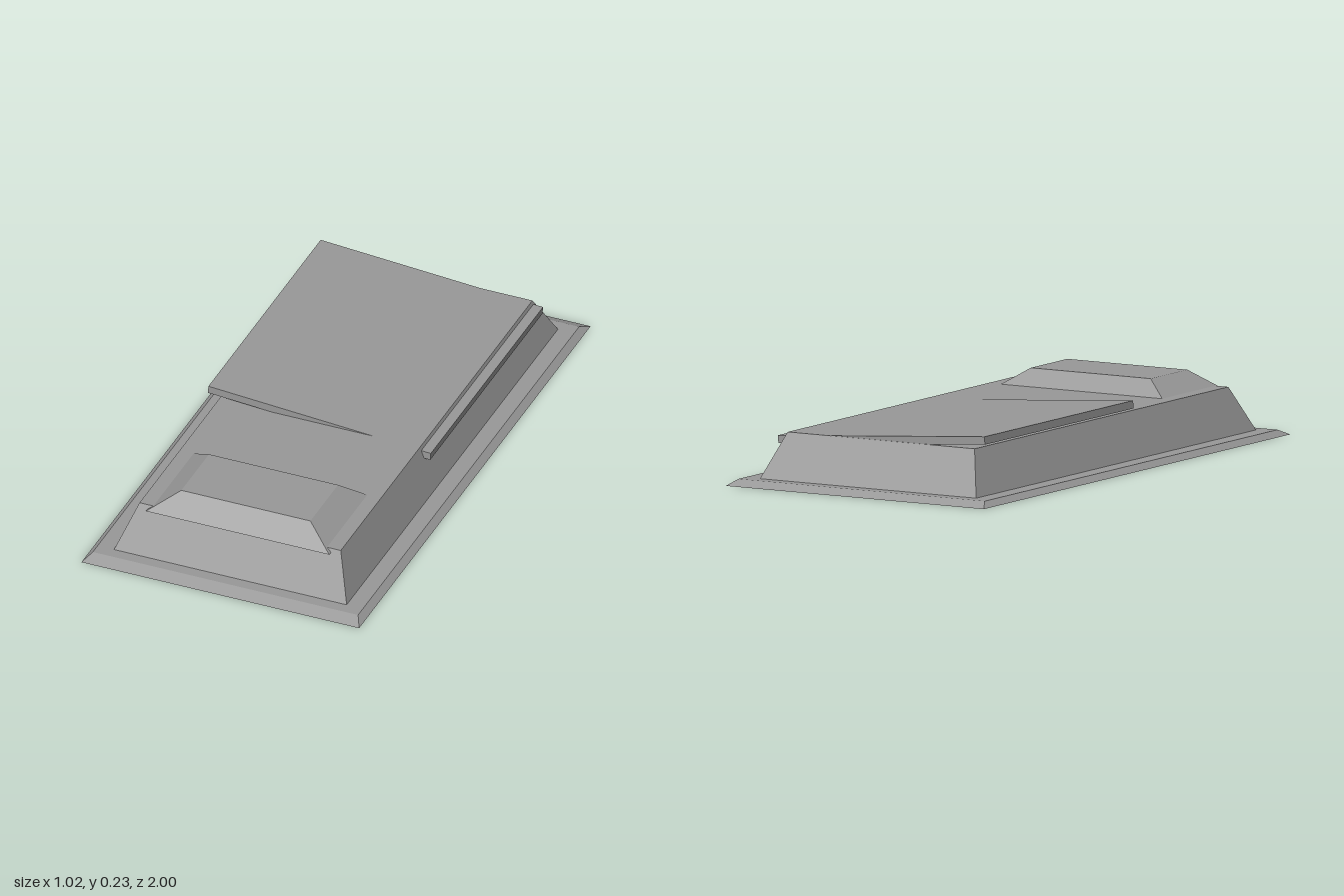
import * as THREE from 'three';

// Box whose top face is scaled in to a smaller rectangle
function taperedBlock(name, material, bottom, top, y0, y1, z = 0) {
  const geometry = new THREE.BoxGeometry(1, y1 - y0, 1).toNonIndexed();
  const p = geometry.attributes.position;
  for (let i = 0; i < p.count; i++) {
    const [w, d] = p.getY(i) > 0 ? top : bottom;
    p.setX(i, p.getX(i) * w);
    p.setZ(i, p.getZ(i) * d);
  }
  geometry.computeVertexNormals();
  const mesh = new THREE.Mesh(geometry, material);
  mesh.name = name;
  mesh.position.set(0, (y0 + y1) / 2, z);
  return mesh;
}

export function createModel() {
  const group = new THREE.Group();
  group.name = 'bed';
  const grey = new THREE.MeshStandardMaterial({ color: 0x999999, flatShading: true });
  grey.name = 'grey';

  // Plinth, main block and raised block at the front
  group.add(
    taperedBlock('plinth', grey, [1.024, 2], [0.978, 1.91], 0, 0.02),
    taperedBlock('body', grey, [0.858, 1.826], [0.742, 1.656], 0.02, 0.174),
    taperedBlock('pillow', grey, [0.676, 0.383], [0.476, 0.239], 0.162, 0.229, 0.659)
  );

  // Thin slab lying across the body, tilted down to the left
  const slab = new THREE.Mesh(new THREE.BoxGeometry(0.822, 0.027, 0.97), grey);
  slab.name = 'cover';
  slab.position.set(0, 0.175, -0.341);
  slab.rotation.z = -0.0717;
  group.add(slab);

  return group;
}
